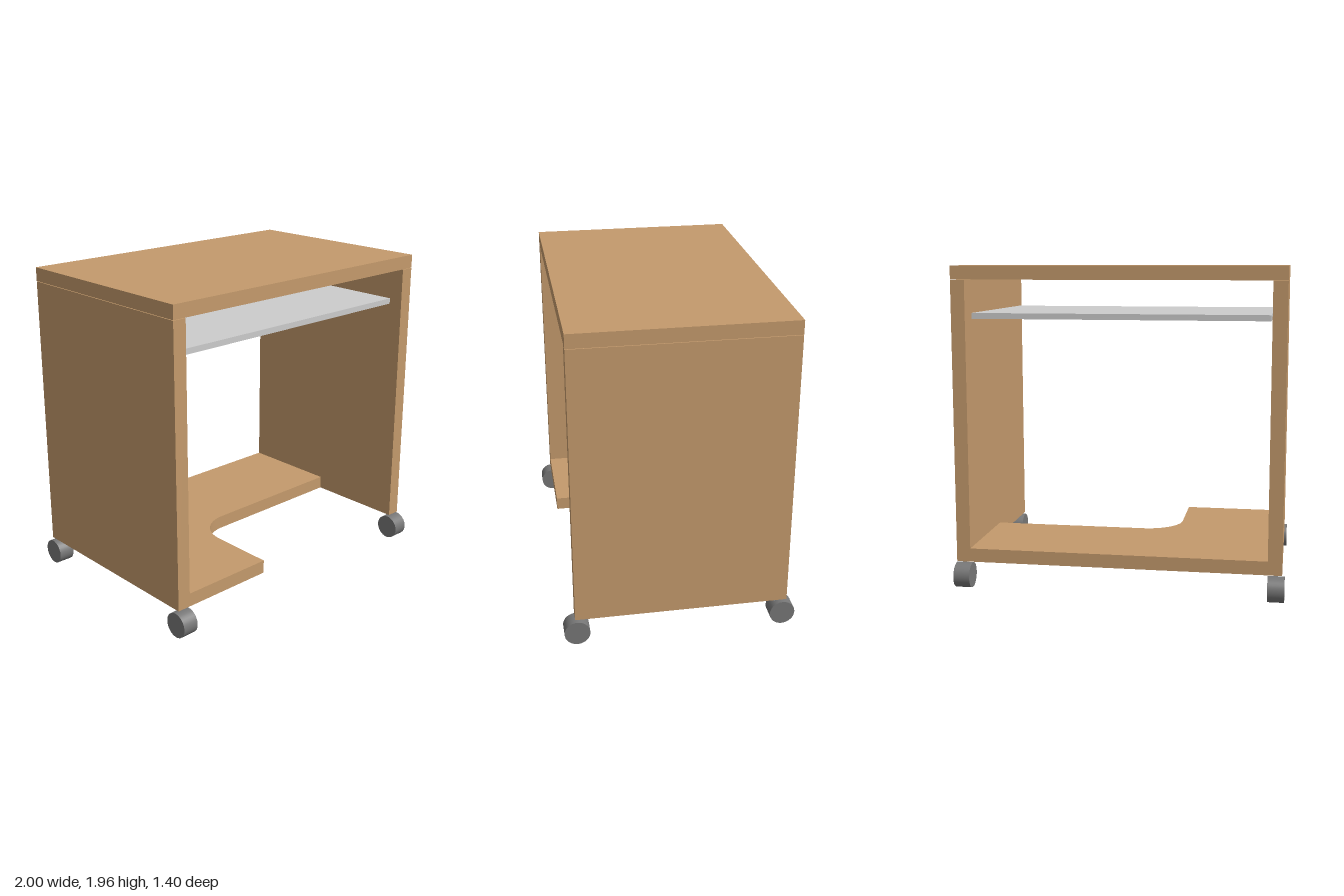
import * as THREE from 'three';
import { toCreasedNormals } from 'three/addons/utils/BufferGeometryUtils.js';

const wood = new THREE.MeshStandardMaterial({ name: 'wood', color: 0xc49a6c });
const lightGrey = new THREE.MeshStandardMaterial({ name: 'light grey', color: 0xcccccc });
const darkGrey = new THREE.MeshStandardMaterial({ name: 'dark grey', color: 0x777777 });

const FRONT = 0.635, BACK = -0.65;

// Box given by its low and high limits on each axis
function slab(name, material, [x0, x1], [y0, y1], [z0, z1]) {
  const mesh = new THREE.Mesh(new THREE.BoxGeometry(x1 - x0, y1 - y0, z1 - z0), material);
  mesh.position.set((x0 + x1) / 2, (y0 + y1) / 2, (z0 + z1) / 2);
  mesh.name = name;
  return mesh;
}

// Bottom shelf: full depth on one side, cut back with a rounded inner corner on the other
function bottomShelf() {
  const r = 0.235, edge = -0.005, step = -0.305;
  const s = new THREE.Shape();
  s.moveTo(-0.9, -FRONT);
  s.lineTo(step, -FRONT);
  s.lineTo(step, -(edge + r));
  s.absarc(step + r, -(edge + r), r, Math.PI, Math.PI / 2, true);
  s.lineTo(0.905, -edge);
  s.lineTo(0.905, -BACK);
  s.lineTo(-0.9, -BACK);
  s.closePath();
  const extruded = new THREE.ExtrudeGeometry(s, { depth: 0.083, bevelEnabled: false, curveSegments: 16 });
  const mesh = new THREE.Mesh(toCreasedNormals(extruded.rotateX(-Math.PI / 2), 0.5), wood);
  mesh.position.y = 0.172;
  mesh.name = 'bottomShelf';
  return mesh;
}

// Caster: one wheel on a sideways axle with a short stem into the panel
function caster(name, sx, sz) {
  const group = new THREE.Group();
  group.name = name;
  const wheel = new THREE.Mesh(new THREE.CylinderGeometry(0.077, 0.077, 0.1, 32).rotateZ(Math.PI / 2), darkGrey);
  wheel.position.set(sx * 0.95, 0.082, sz * 0.625);
  wheel.name = 'wheel';
  const stem = new THREE.Mesh(new THREE.CylinderGeometry(0.014, 0.014, 0.06, 16), lightGrey);
  stem.position.set(sx * 0.947, 0.145, sz * 0.592);
  stem.name = 'stem';
  group.add(wheel, stem);
  return group;
}

export function createModel() {
  const desk = new THREE.Group();
  desk.name = 'computerDesk';

  // Wooden frame
  desk.add(
    slab('tabletop', wood, [-0.985, 0.99], [1.885, 1.968], [BACK, FRONT]),
    slab('rightPanel', wood, [-0.985, -0.9], [0.172, 1.882], [BACK, FRONT]),
    slab('leftPanel', wood, [0.905, 0.99], [0.172, 1.882], [BACK, FRONT]),
    bottomShelf()
  );

  // Keyboard tray
  desk.add(slab('keyboardTray', lightGrey, [-0.892, 0.896], [1.65, 1.685], [-0.55, 0.55]));

  // Four casters
  for (const sx of [-1, 1]) {
    for (const sz of [-1, 1]) {
      desk.add(caster((sz > 0 ? 'front' : 'back') + (sx > 0 ? 'Left' : 'Right') + 'Caster', sx, sz));
    }
  }
  return desk;
}
